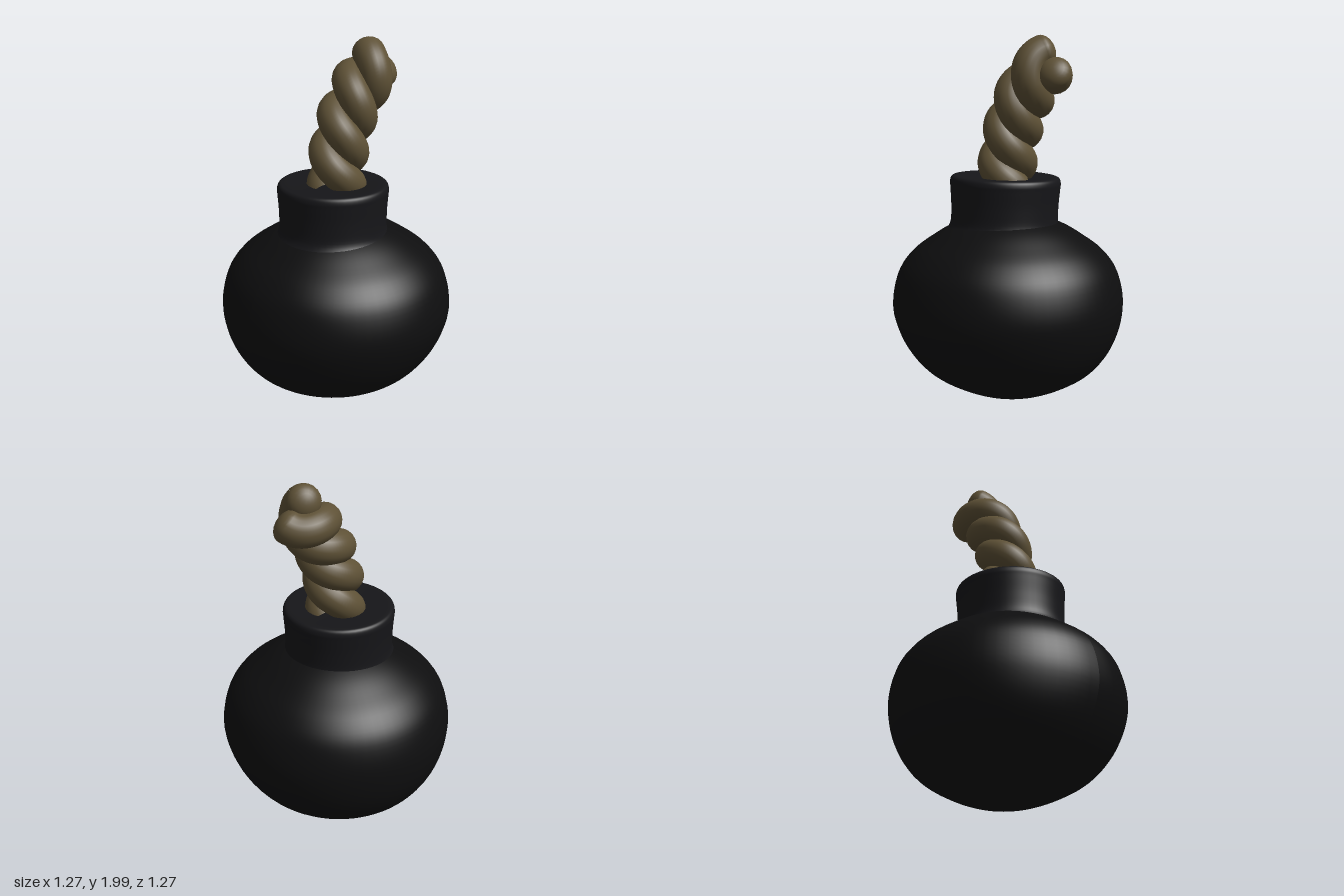
import * as THREE from 'three';

const material = (color) => new THREE.MeshStandardMaterial({ color });

// Smooth lathe through a few [radius, height] points
function turned(points, divisions, segments) {
  const curve = new THREE.SplineCurve(points.map(([r, y]) => new THREE.Vector2(r, y)));
  const profile = curve.getPoints(divisions);
  profile.forEach((p) => { p.x = Math.max(p.x, 0); });
  return new THREE.LatheGeometry(profile, segments);
}

// Strand of a twisted rope, wound around a bent axis in the yz plane
class Strand extends THREE.Curve {
  constructor(axis, phase) {
    super();
    this.axis = axis;
    this.phase = phase;
    this.turns = axis.getLength() / 0.385;
  }
  getPoint(t, target = new THREE.Vector3()) {
    const side = new THREE.Vector3(1, 0, 0);
    const front = new THREE.Vector3().crossVectors(side, this.axis.getTangentAt(t));
    const a = this.phase + t * this.turns * Math.PI * 2;
    return target.copy(this.axis.getPointAt(t))
      .addScaledVector(side, 0.074 * Math.cos(a))
      .addScaledVector(front, 0.074 * Math.sin(a));
  }
}

export function createModel() {
  const model = new THREE.Group();
  const bodyMat = material(0x0e0e0f);
  const neckMat = material(0x161619);
  const ropeMat = material(0x5e5136);

  // Round body, its underside leaning slightly to one side
  const bodyGeo = turned([
    [0, 0.01], [0.15, 0.022], [0.32, 0.085], [0.475, 0.185], [0.585, 0.34], [0.635, 0.53],
    [0.605, 0.71], [0.53, 0.825], [0.42, 0.91], [0.3, 0.98], [0.15, 1.03], [0, 1.04],
  ], 60, 64);
  const pos = bodyGeo.attributes.position;
  for (let i = 0; i < pos.count; i++) {
    const drop = Math.max(0, 1 - pos.getY(i) / 0.5);
    pos.setX(i, pos.getX(i) - 0.035 * drop);
  }
  bodyGeo.computeVertexNormals();
  const body = new THREE.Mesh(bodyGeo, bodyMat);
  body.name = 'body';
  model.add(body);

  // Neck collar with a softly rounded rim, tipped a little
  const neckGeo = turned([
    [0.33, 0.93], [0.297, 0.985], [0.294, 1.08], [0.301, 1.18], [0.303, 1.215],
    [0.293, 1.239], [0.265, 1.245], [0.18, 1.238], [0.08, 1.232], [0, 1.23],
  ], 48, 56);
  const neck = new THREE.Mesh(neckGeo, neckMat);
  neck.name = 'neck';
  neck.position.set(0.02, 0, 0.045);
  neck.rotation.set(-0.02, 0, 0.018);
  model.add(neck);

  // Two-strand twisted fuse, bending backwards
  const fuse = new THREE.Group();
  fuse.name = 'fuse';
  const axis = new THREE.CatmullRomCurve3([
    [1.19, 0], [1.35, -0.005], [1.5, -0.04], [1.65, -0.105], [1.77, -0.195], [1.86, -0.295],
  ].map(([y, z]) => new THREE.Vector3(0.005, y, z)));
  const radius = 0.09;
  for (let i = 0; i < 2; i++) {
    const strand = new Strand(axis, 1.82 + i * Math.PI);
    const tube = new THREE.Mesh(new THREE.TubeGeometry(strand, 110, radius, 20), ropeMat);
    tube.name = 'strand';
    fuse.add(tube);

    // Rounded strand end
    const tip = new THREE.Mesh(new THREE.SphereGeometry(radius, 20, 14), ropeMat);
    tip.name = 'strandTip';
    tip.position.copy(strand.getPoint(1));
    tip.quaternion.setFromUnitVectors(new THREE.Vector3(0, 1, 0), strand.getTangent(1));
    tip.scale.y = 0.7;
    fuse.add(tip);
  }
  model.add(fuse);

  return model;
}
